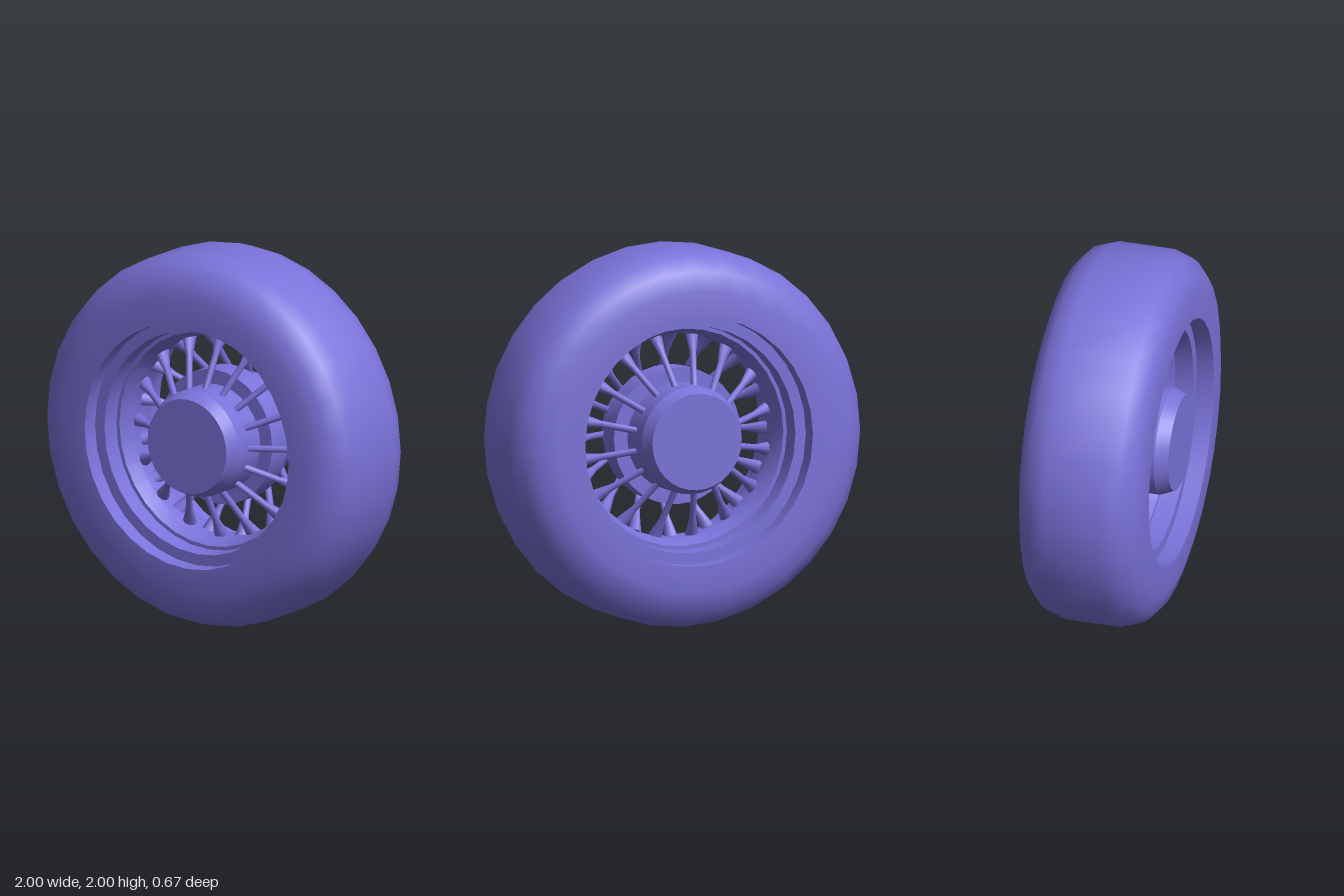
import * as THREE from 'three';
import { toCreasedNormals } from 'three/addons/utils/BufferGeometryUtils.js';

const violet = new THREE.MeshStandardMaterial({ color: 0x7a72d9 });
violet.name = 'violet';

// Solid of revolution about z from [radius, z] pairs
function turned(name, profile, crease = 0.6) {
  const points = profile.map(([r, z]) => new THREE.Vector2(r, z));
  const geometry = new THREE.LatheGeometry(points, 32).rotateX(Math.PI / 2);
  const mesh = new THREE.Mesh(toCreasedNormals(geometry, crease), violet);
  mesh.name = name;
  return mesh;
}

// Back half of a symmetric profile followed by its mirrored front half
function symmetric(half) {
  return [...half.map(([r, z]) => [r, -z]), ...half.slice().reverse()];
}

export function createModel() {
  const wheel = new THREE.Group();
  wheel.name = 'wheel';
  wheel.position.y = 1;

  // Tyre with rounded shoulders
  wheel.add(turned('tyre', symmetric([
    [0.66, 0.333], [0.8, 0.333], [0.9, 0.305], [0.97, 0.24], [1, 0.15],
  ])));

  // Stepped rim, facing the axle
  const rimHalf = [
    [0.66, 0.333], [0.66, 0.24], [0.6, 0.24], [0.595, 0.14], [0.575, 0.14], [0.543, 0.06],
  ];
  wheel.add(turned('rim', symmetric(rimHalf).reverse(), 0.4));

  // Hub barrel with bevelled caps, and the flange around it
  wheel.add(turned('hub', symmetric([[0, 0.33], [0.255, 0.33], [0.285, 0.26], [0.285, 0.13]]), 0.3));
  wheel.add(turned('hubFlange', symmetric([[0, 0.07], [0.362, 0.07]]), 0.4));

  // Spokes slope from each end of the hub to the middle of the rim, flaring at the tip
  const root = new THREE.Vector3(0, 0.26, 0.175);
  const tip = new THREE.Vector3(0, 0.553, 0.015);
  const slope = tip.clone().sub(root);
  const length = slope.length();
  const spokeGeometry = toCreasedNormals(new THREE.LatheGeometry([
    new THREE.Vector2(0.018, 0),
    new THREE.Vector2(0.018, length - 0.12),
    new THREE.Vector2(0.04, length),
  ], 8), 0.9);
  spokeGeometry.applyQuaternion(
    new THREE.Quaternion().setFromUnitVectors(new THREE.Vector3(0, 1, 0), slope.normalize()));
  spokeGeometry.translate(root.x, root.y, root.z);

  for (const side of ['front', 'back']) {
    const row = new THREE.Group();
    row.name = side + 'Spokes';
    const offset = side === 'front' ? 0 : 0.5;
    for (let i = 0; i < 16; i++) {
      const spoke = new THREE.Mesh(spokeGeometry, violet);
      spoke.name = 'spoke';
      spoke.rotation.z = ((i + offset) / 16) * Math.PI * 2;
      row.add(spoke);
    }
    if (side === 'back') row.rotation.y = Math.PI;
    wheel.add(row);
  }

  const model = new THREE.Group();
  model.add(wheel);
  return model;
}
